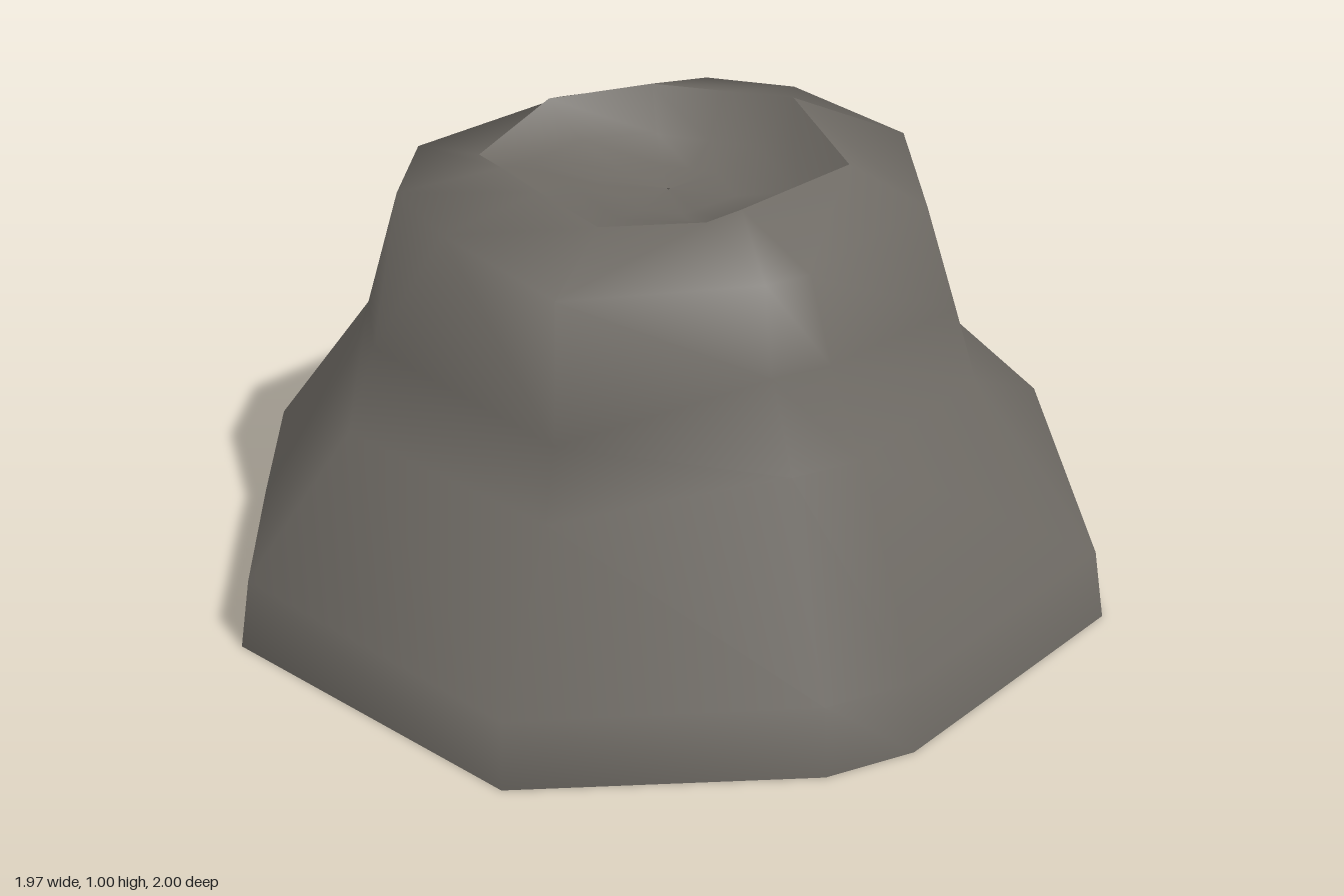
import * as THREE from 'three';

// Column directions in degrees, from +x towards +z; one corner of the foot is chipped
const FOOT = [0, 40, 52, 90, 135, 157, 180, 224, 270, 292, 315];
const WAIST = [0, 40, 52, 90, 134, 157, 180, 224, 263, 290, 315];
const SHOULDER = [0, 42, 52, 90, 122, 152, 176, 224, 261, 287, 317];
const N = FOOT.length;

// Ring of points from one direction, radius and height per column
function ring(angles, radii, heights) {
  return angles.map((deg, i) => {
    const a = THREE.MathUtils.degToRad(deg);
    const y = Array.isArray(heights) ? heights[i] : heights;
    return new THREE.Vector3(Math.cos(a) * radii[i], y, Math.sin(a) * radii[i]);
  });
}

// Smooth skin over a stack of rings; rows from flipFrom up are split along the other diagonal
function loft(rings, flipFrom) {
  const index = [];
  for (let r = 0; r < rings.length - 1; r++) {
    for (let i = 0; i < N; i++) {
      const j = (i + 1) % N;
      const a = r * N + i, b = r * N + j;
      if (r >= flipFrom) index.push(a, a + N, b, b, a + N, b + N);
      else index.push(a, a + N, b + N, a, b + N, b);
    }
  }
  const geometry = new THREE.BufferGeometry().setFromPoints(rings.flat());
  geometry.setIndex(index);
  geometry.computeVertexNormals();
  return geometry;
}

export function createModel() {
  const group = new THREE.Group();
  group.name = 'rock';
  const stone = new THREE.MeshStandardMaterial({ color: 0x6e6a64, side: THREE.DoubleSide });
  stone.name = 'grey stone';

  // Uneven rim of the hollow on top
  const rim = [
    [0.4, 0.985, 0.03], [0.25, 0.97, 0.28], [0.2, 0.965, 0.35],
    [-0.02, 0.93, 0.37], [-0.2, 0.92, 0.23], [-0.32, 0.92, 0.14], [-0.4, 0.91, 0.07],
    [-0.31, 0.98, -0.11], [-0.12, 0.99, -0.24], [0.05, 0.995, -0.24], [0.2, 1.0, -0.24],
  ].map((p) => new THREE.Vector3(...p));

  // Flared foot, waist and shoulder, open underneath
  const body = new THREE.Mesh(loft([
    ring(FOOT, [0.985, 0.95, 0.95, 0.995, 1.0, 0.925, 0.985, 0.98, 1.0, 0.925, 0.995], 0),
    ring(FOOT, [0.96, 0.935, 0.935, 0.985, 0.975, 0.89, 0.945, 0.95, 0.98, 0.89, 0.96], 0.155),
    ring(WAIST, [0.68, 0.735, 0.735, 0.73, 0.74, 0.68, 0.675, 0.71, 0.625, 0.61, 0.69],
      [0.52, 0.56, 0.56, 0.45, 0.46, 0.5, 0.53, 0.45, 0.45, 0.45, 0.43]),
    ring(WAIST, [0.63, 0.62, 0.62, 0.68, 0.675, 0.64, 0.65, 0.6, 0.58, 0.56, 0.63],
      [0.68, 0.72, 0.72, 0.6, 0.64, 0.62, 0.61, 0.6, 0.6, 0.6, 0.58]),
    ring(SHOULDER, [0.56, 0.57, 0.575, 0.66, 0.575, 0.57, 0.556, 0.52, 0.496, 0.475, 0.56],
      [0.9, 0.9, 0.9, 0.905, 0.92, 0.89, 0.895, 0.88, 0.915, 0.935, 0.89]),
    rim,
  ], 4), stone);
  body.name = 'body';
  group.add(body);

  // Shallow hollow sunk inside the rim
  const sunk = (scale, y) => rim.map((p) => new THREE.Vector3(p.x * scale, y, p.z * scale));
  const hollow = new THREE.Mesh(loft([rim, sunk(0.72, 0.905), sunk(0.38, 0.87), sunk(0.01, 0.86)], 3), stone);
  hollow.name = 'hollow';
  group.add(hollow);

  return group;
}
